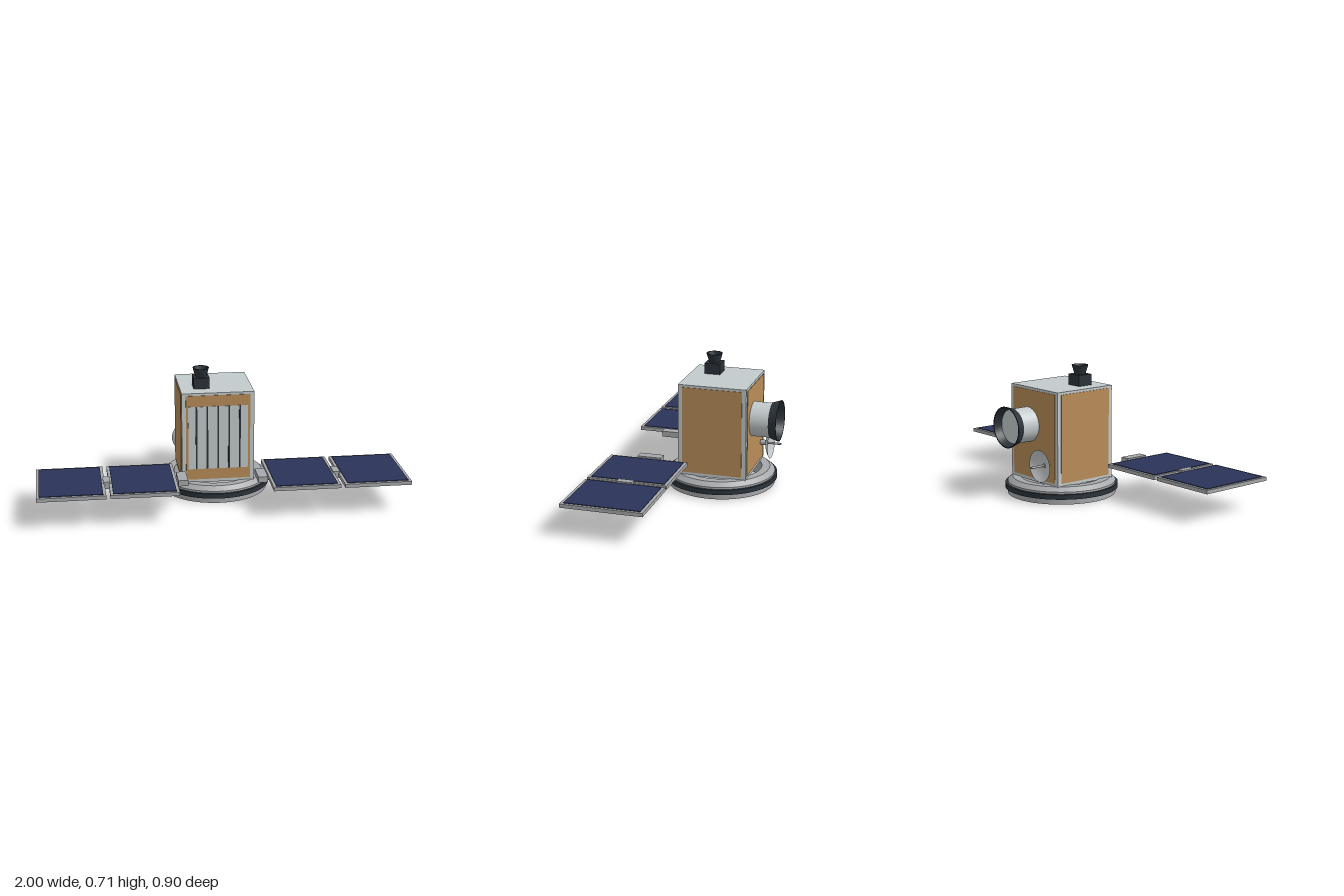
import * as THREE from 'three';
import { toCreasedNormals } from 'three/addons/utils/BufferGeometryUtils.js';

const mat = (name, color, side = THREE.FrontSide) => {
  const m = new THREE.MeshStandardMaterial({ color, side });
  m.name = name;
  return m;
};

export function createModel() {
  const root = new THREE.Group();
  root.name = 'satellite';
  const silver = mat('silver', 0xc3cacb);
  const gold = mat('goldFoil', 0xb88d58);
  const dark = mat('darkGraphite', 0x2b333a);
  const navy = mat('solarNavy', 0x2a3358);
  const gray = mat('metalGray', 0xa6a8ab);
  const dishSilver = mat('dishSilver', 0xc6c9cb, THREE.DoubleSide);

  const add = (name, geo, material, x = 0, y = 0, z = 0, parent = root) => {
    const m = new THREE.Mesh(geo, material);
    m.name = name;
    m.position.set(x, y, z);
    parent.add(m);
    return m;
  };
  const box = (name, w, h, d, material, x, y, z, parent) =>
    add(name, new THREE.BoxGeometry(w, h, d), material, x, y, z, parent);
  // revolved profile with crisp corners
  const lathe = (pts, seg = 64) => toCreasedNormals(
    new THREE.LatheGeometry(pts.map(p => new THREE.Vector2(...p)), seg), 0.5);

  const cz = -0.11; // body and ring axis

  // adapter ring at the base
  add('adapterRing', lathe([
    [0.225, 0], [0.298, 0], [0.298, 0.068], [0.27, 0.09], [0.225, 0.09], [0.225, 0],
  ]), gray, 0, 0, cz);
  add('clampBand', lathe([
    [0.295, 0.03], [0.311, 0.03], [0.311, 0.057], [0.295, 0.057], [0.295, 0.03],
  ]), dark, 0, 0, cz);

  // bus body with foil panels on four sides
  box('body', 0.4, 0.515, 0.38, silver, 0, 0.3425, cz);
  for (const s of [-1, 1]) {
    box('sideFoil', 0.006, 0.483, 0.333, gold, s * 0.2, 0.345, cz);
    box('endFoil', 0.355, 0.483, 0.006, gold, 0, 0.345, cz + s * 0.19);
  }

  // front radiator with dark slots
  box('radiator', 0.33, 0.36, 0.008, silver, 0, 0.345, 0.081);
  for (let i = -2; i <= 2; i++)
    box('radiatorSlot', 0.009, 0.36, 0.006, dark, i * 0.06, 0.345, 0.084);

  // roof sensor
  const sensor = new THREE.Group();
  sensor.name = 'roofSensor';
  sensor.position.set(-0.08, 0.6, -0.045);
  root.add(sensor);
  box('sensorBase', 0.088, 0.06, 0.088, dark, 0, 0.03, 0, sensor);
  add('sensorHorn', lathe([
    [0, 0.06], [0.03, 0.06], [0.045, 0.11], [0.039, 0.11], [0.028, 0.072], [0, 0.072],
  ], 32), dark, 0, 0, 0, sensor);

  // rear telescope: local +y points backwards
  const scope = new THREE.Group();
  scope.name = 'telescope';
  scope.position.set(0.05, 0.395, -0.3);
  scope.rotation.x = -Math.PI / 2;
  root.add(scope);
  add('telescopeTube', new THREE.CylinderGeometry(0.095, 0.095, 0.118, 48), silver, 0, 0.052, 0, scope);
  add('telescopeHood', lathe([
    [0.092, 0.107], [0.098, 0.107], [0.113, 0.153], [0.107, 0.153], [0.092, 0.107],
  ], 48), dark, 0, 0, 0, scope);

  // rear dish antenna, opening backwards
  const dish = new THREE.Group();
  dish.name = 'dishAntenna';
  dish.position.set(-0.125, 0.2, -0.3);
  dish.rotation.x = -Math.PI / 2;
  root.add(dish);
  add('dishMount', new THREE.CylinderGeometry(0.015, 0.015, 0.04, 24), gray, 0, 0.018, 0, dish);
  const bowl = [];
  for (let i = 0; i <= 10; i++) {
    const r = 0.088 * i / 10;
    bowl.push(new THREE.Vector2(r, 0.033 + 0.031 * (i / 10) ** 2));
  }
  add('dishBowl', new THREE.LatheGeometry(bowl, 40), dishSilver, 0, 0, 0, dish);
  add('dishFeed', new THREE.CylinderGeometry(0.006, 0.006, 0.088, 16), gray, 0, 0.076, 0, dish);

  // solar wings, mirrored
  const py = 0.168, pz = 0.232;
  for (const s of [-1, 1]) {
    const wing = new THREE.Group();
    wing.name = s > 0 ? 'leftSolarWing' : 'rightSolarWing';
    root.add(wing);
    box('wingBracket', 0.053, 0.032, 0.136, gray, s * 0.2165, py, pz, wing);
    box('wingHinge', 0.038, 0.038, 0.086, gray, s * 0.625, py, pz + 0.004, wing);
    for (const x of [0.432, 0.818]) {
      box('panelFrame', 0.364, 0.02, 0.44, gray, s * x, py, pz, wing);
      for (const t of [-1, 1])
        box('solarCells', 0.334, 0.006, 0.406, navy, s * x, py + t * 0.0105, pz, wing);
    }
  }
  return root;
}
